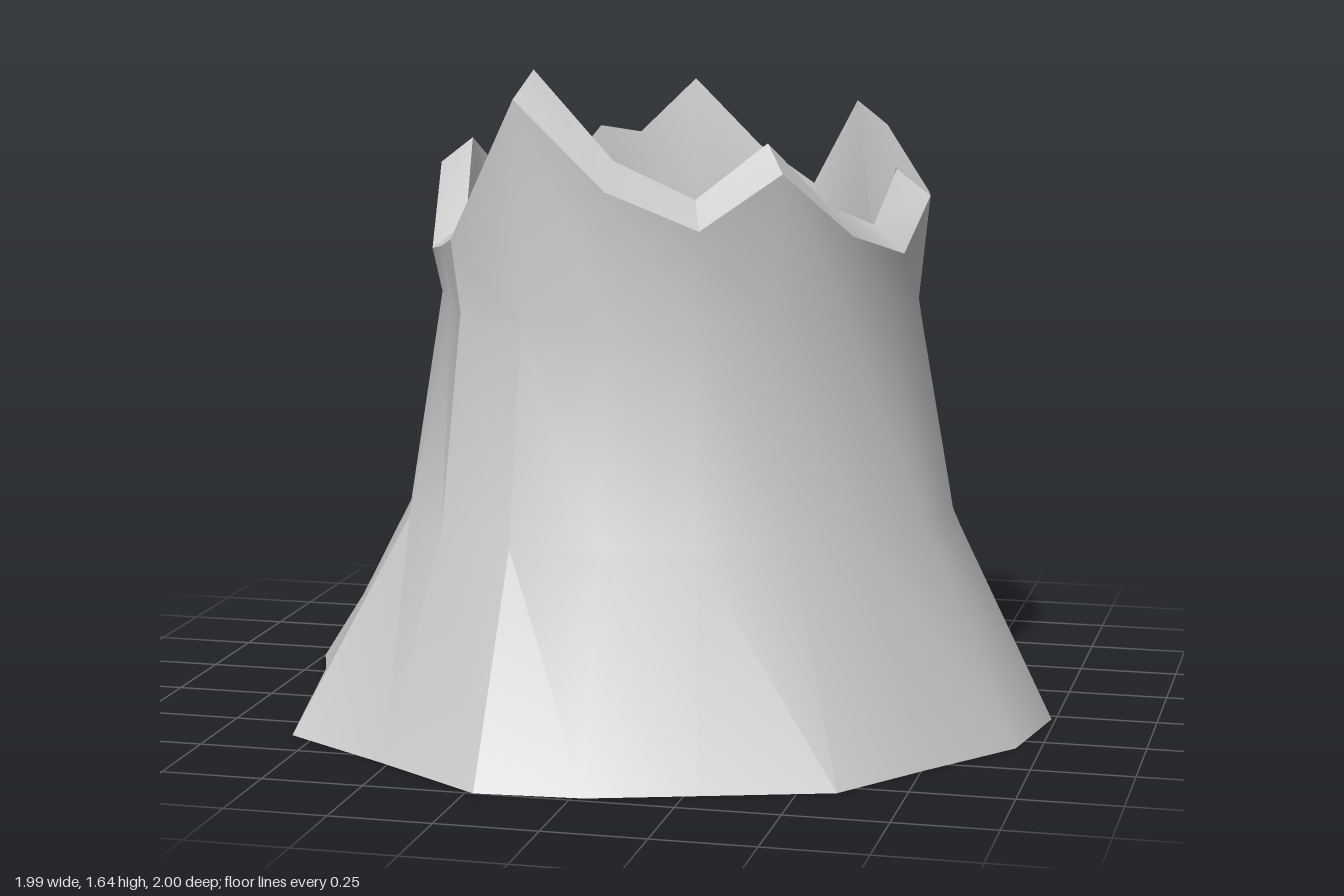
import * as THREE from 'three';
import { toCreasedNormals } from 'three/addons/utils/BufferGeometryUtils.js';

// Trunk columns, clockwise from one door jamb to the other:
// [base x, base z, rim x, rim z, rim height, waist height]
const COLUMNS = [
  [-0.31, -0.93, -0.34, -0.49, 1.36, 1.19],
  [-0.15, -0.97, -0.23, -0.56, 1.34],
  [0.03, -1.0, -0.07, -0.62, 1.48],
  [0.30, -0.85, 0.14, -0.59, 1.31],
  [0.55, -0.68, 0.33, -0.50, 1.22],
  [0.80, -0.54, 0.49, -0.35, 1.45],
  [0.90, -0.24, 0.63, -0.17, 1.30],
  [0.99, 0.03, 0.665, 0.02, 1.31],
  [0.94, 0.32, 0.635, 0.22, 1.19],
  [0.76, 0.56, 0.54, 0.39, 1.25],
  [0.59, 0.80, 0.40, 0.54, 1.41],
  [0.28, 0.90, 0.22, 0.63, 1.28],
  [0.03, 0.98, 0.0, 0.66, 1.37],
  [-0.23, 1.0, -0.23, 0.63, 1.58],
  [-0.51, 0.81, -0.42, 0.52, 1.23],
  [-0.81, 0.62, -0.50, 0.34, 1.19],
  [-0.83, 0.33, -0.58, 0.16, 1.16],
  [-0.91, 0.08, -0.61, -0.02, 1.36],
  [-1.0, -0.17, -0.575, -0.19, 1.26],
  [-0.97, -0.27, -0.49, -0.35, 1.17, 1.02],
];

// Closed wall section: up the outside, over the rim and down the inside
function wallSection([bx, bz, rx, rz, rimY, waistY = 1.05]) {
  const wx = rx * 0.96, wz = rz * 0.96;
  const outer = [
    [bx, 0, bz],
    [wx + (bx - wx) * 0.27, 0.52, wz + (bz - wz) * 0.27],
    [wx, waistY, wz],
    [rx, rimY, rz],
  ];
  const inset = [0.14, 0.11, 0.1, 0.085];
  const lift = [0, 0.03, 0.02, 0.065];
  const inner = outer.map(([x, y, z], i) => {
    const s = 1 - inset[i] / Math.hypot(x, z);
    return [x * s, y + lift[i], z * s];
  });
  return [...outer, ...inner.reverse()];
}

function trunkGeometry() {
  const sections = COLUMNS.map(wallSection);
  const last = sections.length - 1;
  const positions = sections.flat(2);
  const index = [];
  const at = (column, k) => column * 8 + k;
  const quad = (a, b, c, d) => index.push(a, b, c, a, c, d);

  // Join two neighbouring columns around the given loop of section points
  const join = (i, j, loop) => loop.forEach((k, n) => {
    const up = loop[(n + 1) % loop.length];
    quad(at(i, k), at(i, up), at(j, up), at(j, k));
  });
  for (let i = 0; i < last; i++) join(i, i + 1, [0, 1, 2, 3, 4, 5, 6, 7]);

  // Lintel over the doorway
  join(last, 0, [2, 3, 4, 5]);

  // Door jambs
  for (let k = 0; k < 2; k++) {
    quad(at(0, k + 1), at(0, k), at(0, 7 - k), at(0, 6 - k));
    quad(at(last, k), at(last, k + 1), at(last, 6 - k), at(last, 7 - k));
  }

  const geometry = new THREE.BufferGeometry();
  geometry.setAttribute('position', new THREE.Float32BufferAttribute(positions, 3));
  geometry.setIndex(index);
  return toCreasedNormals(geometry, THREE.MathUtils.degToRad(32));
}

export function createModel() {
  const group = new THREE.Group();
  group.name = 'hollowTreeStump';
  const trunk = new THREE.Mesh(
    trunkGeometry(),
    new THREE.MeshStandardMaterial({ color: 0xcccccc })
  );
  trunk.name = 'trunk';
  group.add(trunk);
  return group;
}
